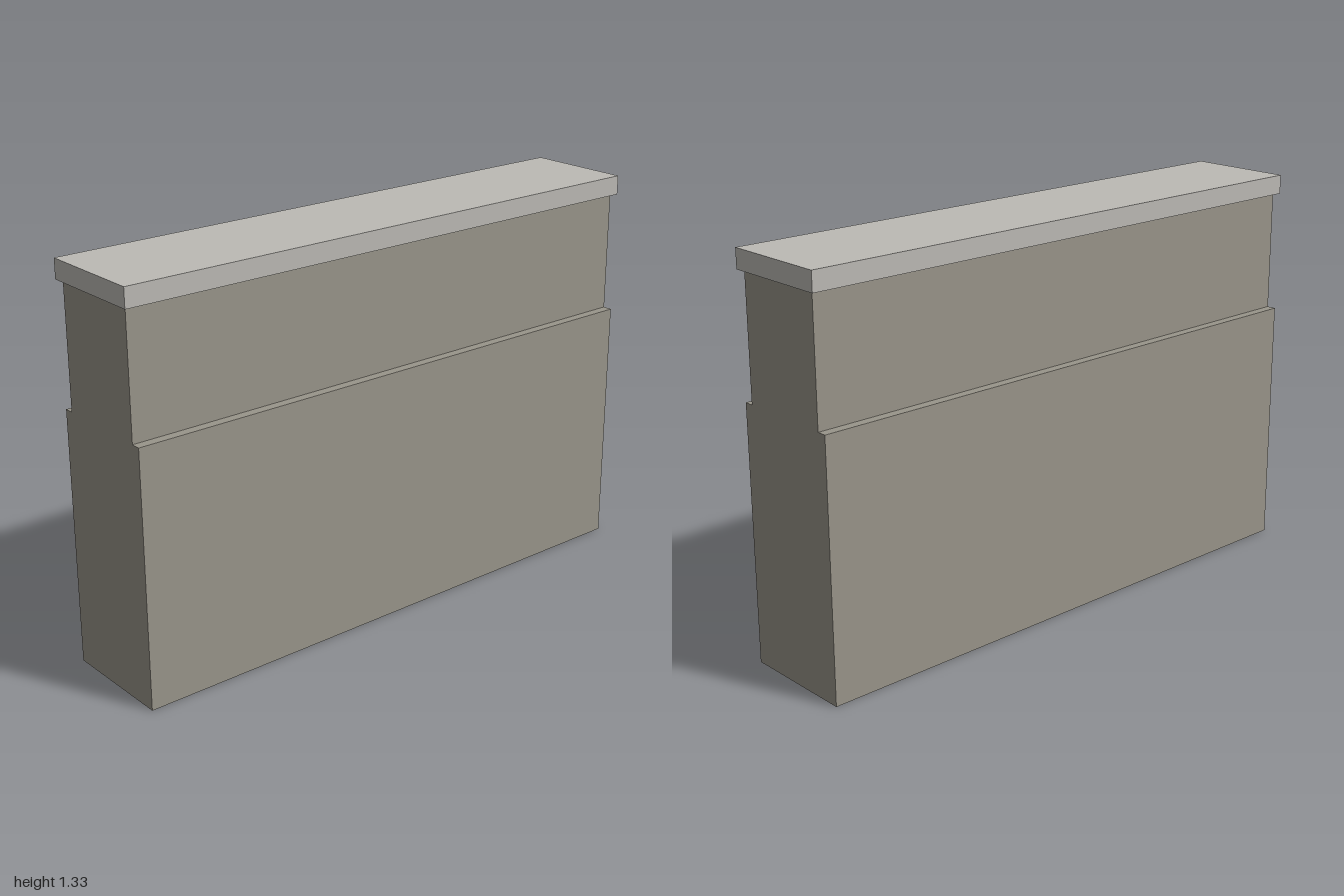
import * as THREE from 'three';

export function createModel() {
  const stone = new THREE.MeshStandardMaterial({ name: 'warm grey stone', color: 0x99958a });
  const coping = new THREE.MeshStandardMaterial({ name: 'pale grey coping', color: 0xbcbab5 });
  const model = new THREE.Group();
  model.name = 'wall';

  // Stepped wall: profile across the thickness, extruded along x
  const length = 1.974, base = 0.197, neck = 0.165, step = 0.856, top = 1.266;
  const profile = new THREE.Shape([
    [-base, 0], [base, 0], [base, step], [neck, step],
    [neck, top], [-neck, top], [-neck, step], [-base, step],
  ].map(([x, y]) => new THREE.Vector2(x, y)));
  const bodyGeometry = new THREE.ExtrudeGeometry(profile, { depth: length, bevelEnabled: false });
  bodyGeometry.translate(0, 0, -length / 2).rotateY(Math.PI / 2);
  const body = new THREE.Mesh(bodyGeometry, stone);
  body.name = 'steppedWallBody';
  model.add(body);

  // Overhanging slab on top
  const capHeight = 0.065;
  const cap = new THREE.Mesh(new THREE.BoxGeometry(2, capHeight, 0.37), coping);
  cap.name = 'copingSlab';
  cap.position.y = top + capHeight / 2;
  model.add(cap);

  return model;
}
